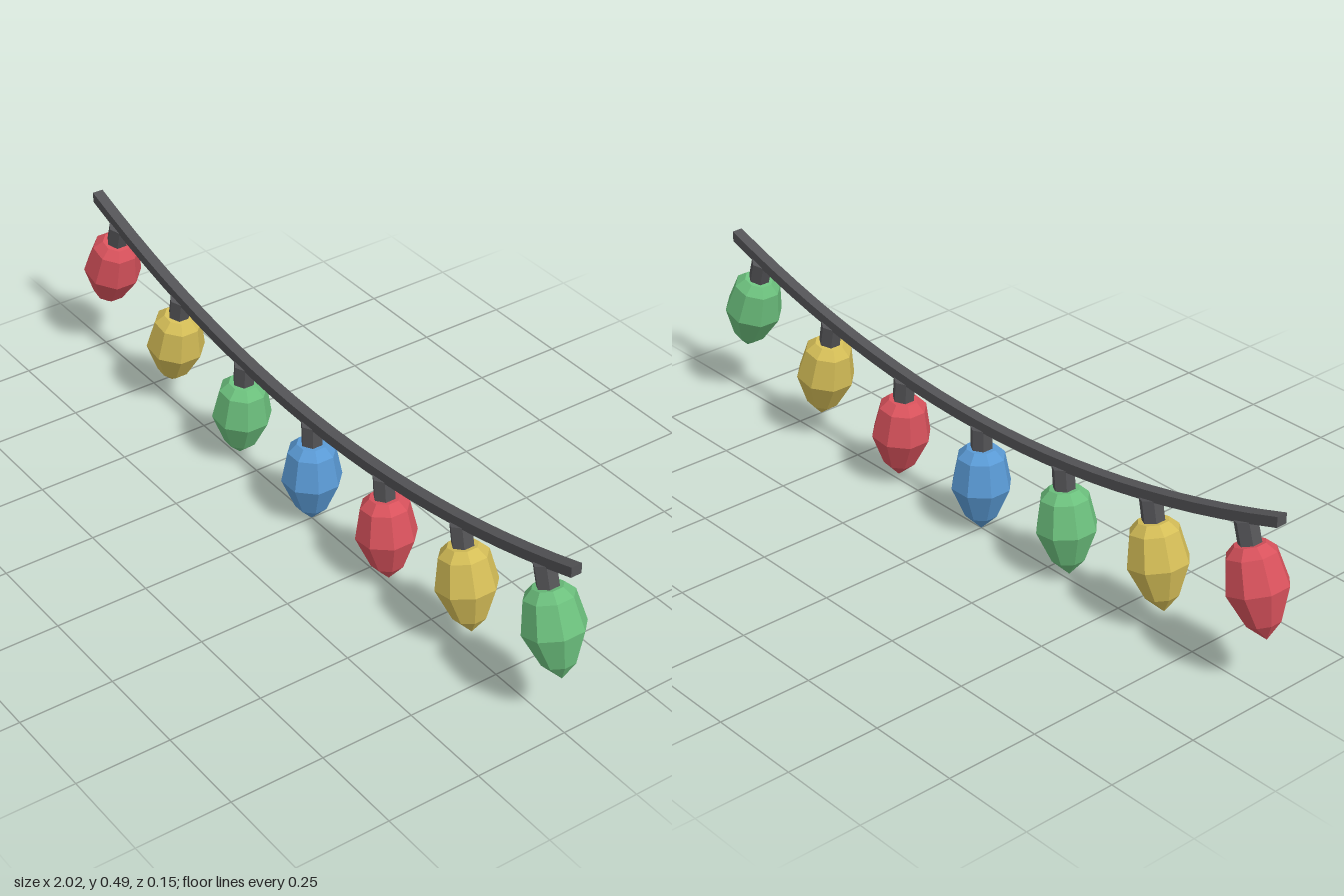
import * as THREE from 'three';

const material = (name, color) => Object.assign(new THREE.MeshStandardMaterial({ color }), { name });

// Split shared corners so every facet is flat
function faceted(geometry) {
  const g = geometry.index ? geometry.toNonIndexed() : geometry;
  g.computeVertexNormals();
  return g;
}

// Height of the sagging wire's centre line, and its tilt
const sag = (x) => 0.302 + 0.17 * x * x;
const tilt = (x) => Math.atan(0.34 * x);

export function createModel() {
  const group = new THREE.Group();
  group.name = 'stringLights';

  const dark = material('dark grey', 0x535356);
  const red = material('red', 0xd8525c);
  const yellow = material('yellow', 0xd4bd57);
  const green = material('green', 0x6cc07d);
  const blue = material('blue', 0x5a9ad5);

  // Square-section wire, cut upright at both ends
  const half = 0.014, width = 0.03, steps = 24;
  const lower = [], upper = [];
  for (let i = 0; i <= steps; i++) {
    const x = -1 + (2 * i) / steps;
    lower.push(new THREE.Vector2(x, sag(x) - half));
    upper.unshift(new THREE.Vector2(x, sag(x) + half));
  }
  const wireGeometry = new THREE.ExtrudeGeometry(new THREE.Shape([...lower, ...upper]), {
    depth: width, bevelEnabled: false,
  });
  wireGeometry.translate(0, 0, -width / 2);
  const wire = new THREE.Mesh(wireGeometry, dark);
  wire.name = 'wire';
  group.add(wire);

  // Six-sided socket hanging from the wire
  const socketGeometry = faceted(new THREE.CylinderGeometry(0.029, 0.029, 0.07, 6));
  socketGeometry.translate(0, -0.045, 0);

  // Eight-sided bulb; profile gives distance to the flats, from tip to top
  const flat = 1 / Math.cos(Math.PI / 8);
  const profile = [[0, -0.302], [0.04, -0.258], [0.073, -0.173], [0.058, -0.09], [0.036, -0.067], [0, -0.067]]
    .map(([r, y]) => new THREE.Vector2(r * flat, y));
  const bulbGeometry = faceted(new THREE.LatheGeometry(profile, 8, Math.PI / 8));

  // Seven lights, each square to the wire
  const colours = [red, yellow, green, blue, red, yellow, green];
  colours.forEach((colour, i) => {
    const x = (i - 3) * 0.297;
    const light = new THREE.Group();
    light.name = 'light' + (i + 1);
    const socket = new THREE.Mesh(socketGeometry, dark);
    socket.name = 'socket';
    const bulb = new THREE.Mesh(bulbGeometry, colour);
    bulb.name = 'bulb';
    light.add(socket, bulb);
    light.position.set(x, sag(x), 0);
    light.rotation.z = tilt(x);
    group.add(light);
  });

  return group;
}
